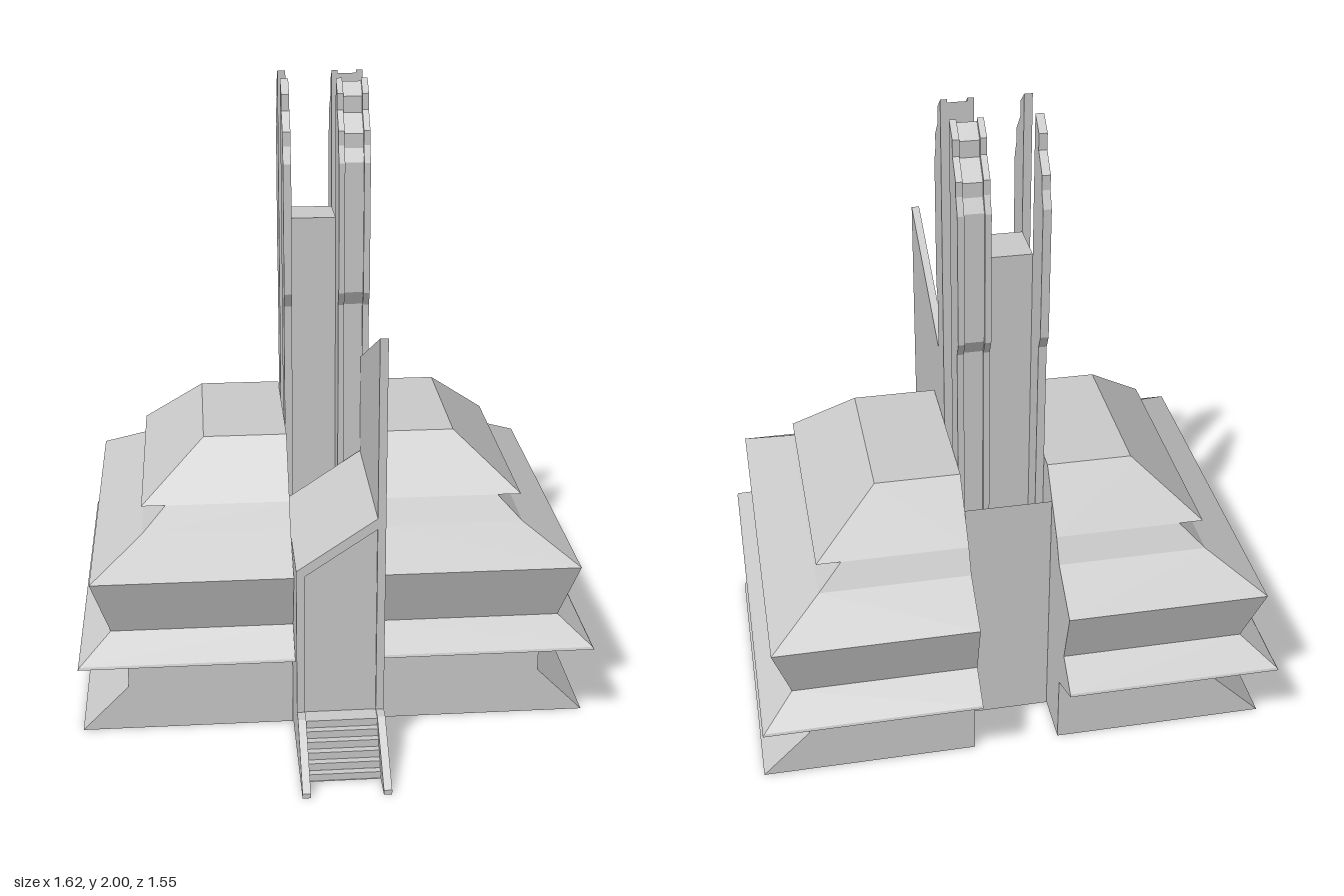
import * as THREE from 'three';

const material = new THREE.MeshStandardMaterial({ color: 0xcccccc, flatShading: true, side: THREE.DoubleSide });

function add(parent, name, geometry) {
  const mesh = new THREE.Mesh(geometry, material);
  mesh.name = name;
  parent.add(mesh);
  return mesh;
}

const shapeOf = (points) => new THREE.Shape(points.map(([a, b]) => new THREE.Vector2(a, b)));

// Profile of [z, y] points extruded from x0 to x1
function sideSlab(points, x0, x1) {
  const g = new THREE.ExtrudeGeometry(shapeOf(points), { depth: x1 - x0, bevelEnabled: false });
  return g.rotateY(-Math.PI / 2).translate(x1, 0, 0);
}

// Profile of [x, y] points extruded from z0 to z1
function frontSlab(points, z0, z1) {
  const g = new THREE.ExtrudeGeometry(shapeOf(points), { depth: z1 - z0, bevelEnabled: false });
  return g.translate(0, 0, z0);
}

function box(x0, x1, y0, y1, z0, z1) {
  return new THREE.BoxGeometry(x1 - x0, y1 - y0, z1 - z0)
    .translate((x0 + x1) / 2, (y0 + y1) / 2, (z0 + z1) / 2);
}

// Tiered half of the body: open underneath, closed on top and at the slot
function tieredShell() {
  const slot = 0.136;
  // y, outer x, back z, front z
  const levels = [
    [0, 0.81, -0.63, 0.34], [0.152, 0.66, -0.63, 0.34], [0.228, 0.66, -0.63, 0.34],
    [0.299, 0.805, -0.778, 0.483], [0.307, 0.8, -0.775, 0.48], [0.377, 0.705, -0.678, 0.383],
    [0.565, 0.76, -0.733, 0.44], [0.66, 0.6, -0.582, 0.287], [0.735, 0.525, -0.54, 0.243],
    [0.735, 0.6, -0.54, 0.243], [0.905, 0.4, -0.395, 0.098],
  ];
  const rings = levels.map(([y, x, zb, zf]) => [[slot, y, zb], [x, y, zb], [x, y, zf], [slot, y, zf]]);
  const positions = [];
  const quad = (a, b, c, d) => positions.push(...a, ...b, ...c, ...a, ...c, ...d);
  for (let i = 0; i < rings.length - 1; i++) {
    const lower = rings[i], upper = rings[i + 1];
    for (let k = 0; k < 4; k++) {
      const n = (k + 1) % 4;
      quad(lower[k], upper[k], upper[n], lower[n]);
    }
  }
  const top = rings[rings.length - 1];
  quad(top[0], top[3], top[2], top[1]);
  const g = new THREE.BufferGeometry();
  g.setAttribute('position', new THREE.Float32BufferAttribute(positions, 3));
  g.computeVertexNormals();
  return g;
}

export function createModel() {
  const model = new THREE.Group();
  model.name = 'templeTower';

  // Two mirrored halves of the body
  const shell = tieredShell();
  add(model, 'leftBody', shell);
  add(model, 'rightBody', shell).scale.x = -1;

  // Tower core and four stepped pillars around it
  const tower = new THREE.Group();
  tower.name = 'tower';
  model.add(tower);
  add(tower, 'towerCore', box(-0.11, 0.037, 0, 1.56, -0.25, -0.1));
  const mid = -0.175;
  const outline = [[0.175, 0], [0.175, 1.3], [0.197, 1.345], [0.197, 1.76], [0.175, 1.81],
    [0.175, 1.855], [0.125, 1.91], [0.125, 1.96], [0.075, 2]];
  for (const side of [1, -1]) {
    const end = side > 0 ? 'front' : 'back';
    const profile = (inset) => [[mid + side * 0.075, 0],
      ...outline.map(([d, y], i) => [mid + side * (i === 8 ? d : d - inset), y - (y > 1.8 ? inset : 0)])];
    add(tower, end + 'ThinPillar', sideSlab(profile(0), -0.135, -0.11));
    // The wide pillar has a shallow groove down its outer face
    add(tower, end + 'WidePillarInnerRib', sideSlab(profile(0), 0.037, 0.056));
    add(tower, end + 'WidePillarGroove', sideSlab(profile(0.01), 0.056, 0.115));
    add(tower, end + 'WidePillarOuterRib', sideSlab(profile(0), 0.115, 0.135));
  }

  // Entrance passage: tall fin, low wall, sloping roof and recessed door
  const entrance = new THREE.Group();
  entrance.name = 'entrance';
  model.add(entrance);
  add(entrance, 'tallFin', sideSlab([[0, 0], [0.535, 0], [0.535, 1.365], [0, 1.125]], 0.11, 0.135));
  add(entrance, 'lowWall', box(-0.135, -0.11, 0, 0.62, 0, 0.535));
  add(entrance, 'slopingRoof', frontSlab([[-0.135, 0.6], [0.11, 0.765], [0.11, 0.8], [-0.135, 0.635]], 0, 0.535));
  add(entrance, 'doorPanel', frontSlab([[-0.11, 0], [0.11, 0], [0.11, 0.765], [-0.11, 0.617]], 0.5, 0.525));

  // Stairway with side rails
  const steps = 6, rise = 0.145 / steps, run = 0.13 / steps;
  const stairs = [[0.525, 0.12], [0.525, 0.145]];
  for (let i = 0; i < steps; i++) {
    const z = 0.58 + i * run, y = 0.145 - i * rise;
    stairs.push([z, y], [z, y - rise]);
  }
  stairs.push([0.69, 0], [0.575, 0.12]);
  add(entrance, 'stairs', sideSlab(stairs, -0.11, 0.11));
  const rail = [[0.535, 0], [0.775, 0], [0.775, 0.015], [0.58, 0.15], [0.535, 0.15]];
  add(entrance, 'rightRail', sideSlab(rail, -0.135, -0.11));
  add(entrance, 'leftRail', sideSlab(rail, 0.11, 0.135));

  // Wall closing the slot at the back, its top sloping inward
  add(model, 'backWall', sideSlab([[-0.47, 0], [-0.45, 0], [-0.45, 0.6], [-0.375, 0.66], [-0.375, 0.7], [-0.47, 0.82]], -0.135, 0.135));

  return model;
}
